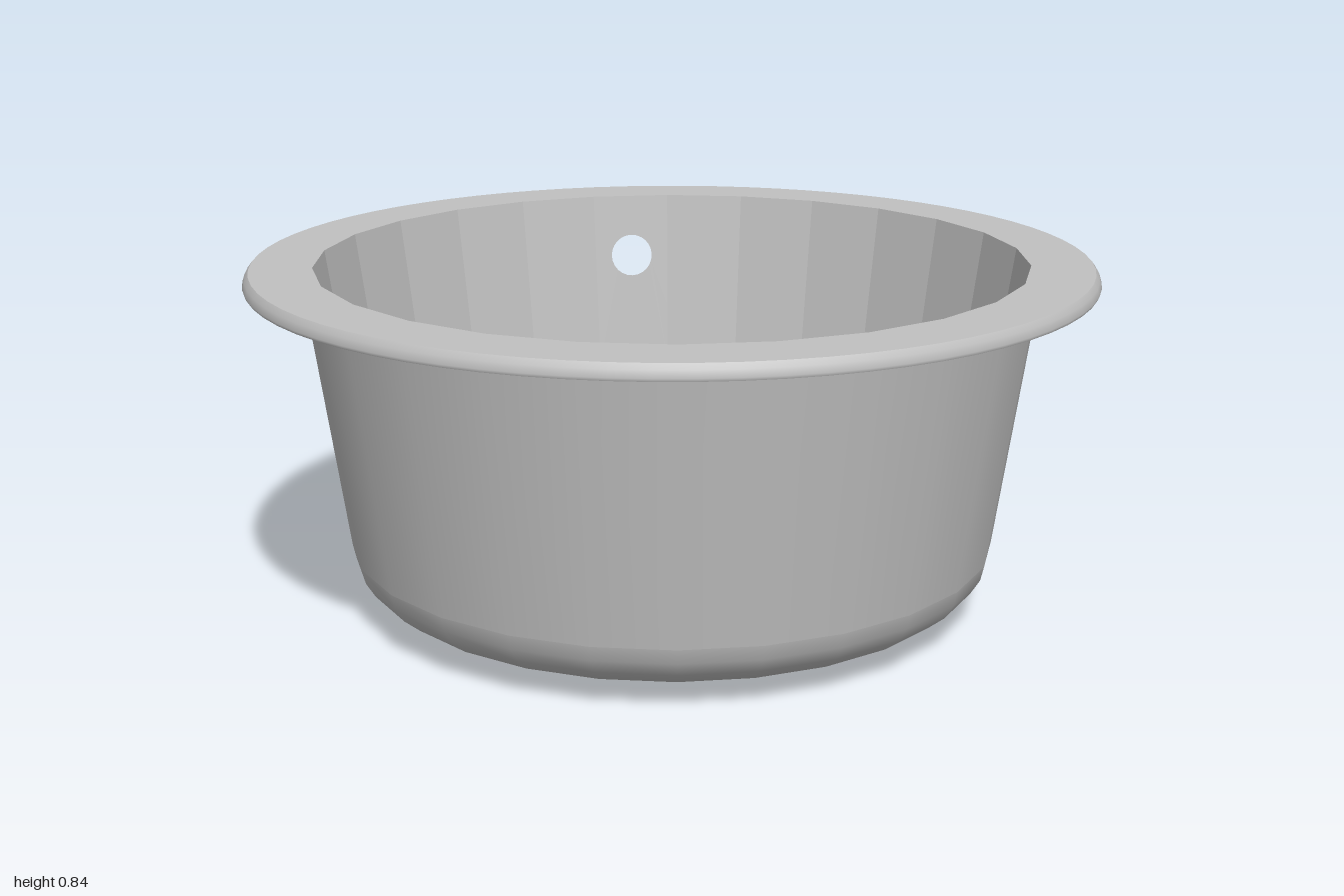
import * as THREE from 'three';

const SIDES = 26, STEP = Math.PI / SIDES;
const DRAIN_Z = -0.33;
const HOLE_Y = 0.68, HOLE_R = 0.055;

export function createModel() {
  const group = new THREE.Group();
  group.name = 'roundSink';
  const steel = new THREE.MeshStandardMaterial({ color: 0xc0c0c0 });
  steel.name = 'brushed steel';

  const add = (name, geometry, z = 0) => {
    const mesh = new THREE.Mesh(geometry, steel);
    mesh.name = name;
    mesh.position.z = z;
    group.add(mesh);
    return mesh;
  };

  // Profiles running upwards face outwards, downwards face inwards
  const lathe = (points, sides, start, length = Math.PI * 2) =>
    new THREE.LatheGeometry(points.map(p => new THREE.Vector2(...p)), sides, start, length);
  const flat = geometry => {
    const g = geometry.toNonIndexed();
    g.computeVertexNormals();
    return g;
  };

  // Horizontal polygon plate with a polygonal hole
  const polygon = (r, n, cy = 0) => Array.from({ length: n }, (_, i) => {
    const a = i / n * Math.PI * 2;
    return new THREE.Vector2(r * Math.cos(a), cy + r * Math.sin(a));
  });
  const plate = (name, outerR, outerN, innerR, innerN, y, up, outerZ = 0, innerZ = outerZ) => {
    const s = up ? -1 : 1;
    const shape = new THREE.Shape(polygon(outerR, outerN, s * outerZ));
    shape.holes.push(new THREE.Path(polygon(innerR, innerN, s * innerZ)));
    const g = new THREE.ShapeGeometry(shape);
    g.rotateX(s * Math.PI / 2);
    g.translate(0, y, 0);
    add(name, g);
  };

  // Closed band between two loops of points
  const band = (a, b, flip) => {
    const n = a.length, index = [];
    for (let i = 0; i < n; i++) {
      const j = (i + 1) % n;
      if (flip) index.push(i, n + i, j, j, n + i, n + j);
      else index.push(i, j, n + i, j, n + j, n + i);
    }
    const g = new THREE.BufferGeometry();
    g.setAttribute('position', new THREE.Float32BufferAttribute([...a, ...b].flat(), 3));
    g.setIndex(index);
    g.computeVertexNormals();
    return g;
  };

  // Wall with its rear facet pierced by the overflow hole
  const wall = (name, low, high, outside) => {
    const pts = outside ? [low, high] : [high, low];
    const g = lathe(pts, SIDES - 1, Math.PI + STEP, Math.PI * 2 - 2 * STEP);
    add(name, outside ? g : flat(g));

    const slope = (high[0] - low[0]) / (high[1] - low[1]);
    const radius = y => low[0] + (y - low[1]) * slope;
    const place = (x, y) => [x, y, -radius(y) * Math.cos(STEP)];
    const hole = [], frame = [];
    for (let i = 0; i < 24; i++) {
      const c = Math.cos(i / 24 * Math.PI * 2), s = Math.sin(i / 24 * Math.PI * 2);
      const m = Math.max(Math.abs(c), Math.abs(s));
      hole.push(place(HOLE_R * c, HOLE_Y + HOLE_R * s));
      const y = HOLE_Y + s / m * (s > 0 ? high[1] - HOLE_Y : HOLE_Y - low[1]);
      frame.push(place(c / m * radius(y) * Math.sin(STEP), y));
    }
    const patch = band(hole, frame, !outside);
    if (outside) {
      // Round normals continue the smooth outer wall
      const p = patch.attributes.position;
      for (let i = 0; i < p.count; i++) {
        const n = new THREE.Vector3(p.getX(i), 0, p.getZ(i)).normalize();
        n.y = -slope;
        n.normalize();
        patch.attributes.normal.setXYZ(i, n.x, n.y, n.z);
      }
    }
    add(name + 'OverflowFacet', patch);
    return hole;
  };

  // Bowl walls and overflow hole
  const outerHole = wall('outerWall', [0.775, 0.16], [0.862, 0.775], true);
  const innerHole = wall('innerWall', [0.742, 0.17], [0.84, 0.84], false);
  add('overflowHoleEdge', band(outerHole, innerHole, false));

  // Rounded lower edges and the fillet below the rim
  add('outerBase', lathe([[0.655, 0.045], [0.705, 0.058], [0.745, 0.09], [0.767, 0.125], [0.775, 0.16]], SIDES, STEP));
  add('innerBase', lathe([[0.742, 0.17], [0.732, 0.135], [0.71, 0.105], [0.67, 0.08], [0.615, 0.07]], SIDES, STEP));
  add('rimFillet', lathe([[0.862, 0.775], [0.866, 0.793], [0.88, 0.805]], SIDES, STEP));

  // Rim
  plate('rimTop', 0.986, 72, 0.84, SIDES, 0.84, true);
  plate('rimUnderside', 0.997, 72, 0.88, SIDES, 0.805, false);
  add('rimEdge', lathe([[0.997, 0.805], [1, 0.812], [0.995, 0.828], [0.986, 0.84]], 72, Math.PI / 2));

  // Floor, inside and underneath
  plate('floor', 0.615, SIDES, 0.26, 48, 0.07, true, 0, DRAIN_Z);
  plate('underside', 0.655, SIDES, 0.31, 48, 0.045, false, 0, DRAIN_Z);

  // Drain seat with an angular opening
  add('drainRecess', lathe([[0.26, 0.07], [0.26, 0.025]], 48, Math.PI / 2), DRAIN_Z);
  plate('drainSeat', 0.26, 48, 0.205, 14, 0.025, true, DRAIN_Z);
  add('drainOpening', flat(lathe([[0.205, 0.025], [0.205, 0]], 14, Math.PI / 2)), DRAIN_Z);
  plate('drainUnderside', 0.28, 48, 0.205, 14, 0, false, DRAIN_Z);
  add('drainCollar', lathe([[0.28, 0], [0.31, 0.045]], 48, Math.PI / 2), DRAIN_Z);

  return group;
}
